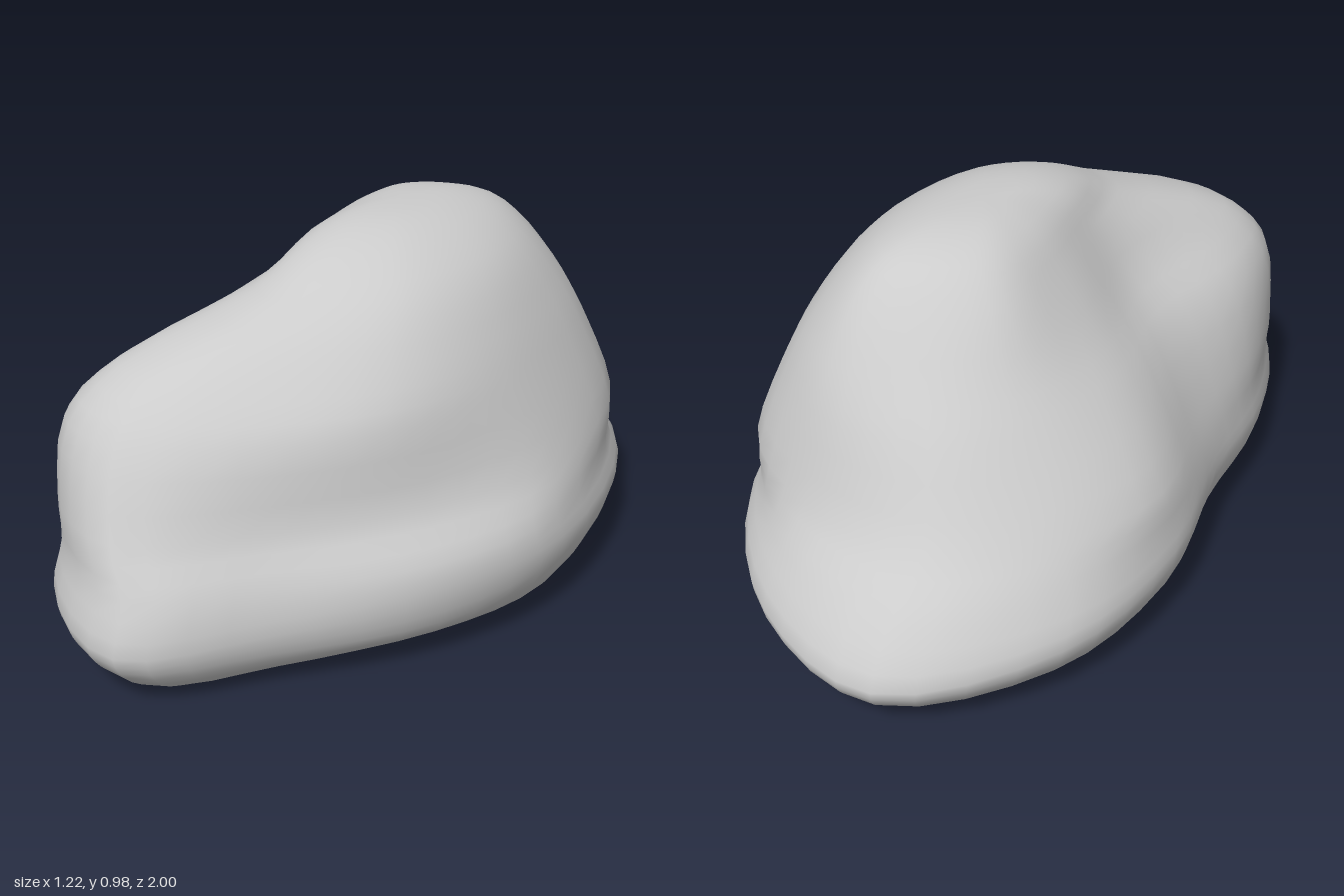
import * as THREE from 'three';

// Horizontal outlines of the rock: [height, x, z, x, z, ...], from +x round through +z
const OUTLINES = [
  [0.20, 0.61, 0.02, 0.49, 0.40, 0.22, 0.74, -0.04, 0.995, -0.37, 0.84, -0.52, 0.48,
    -0.55, 0.10, -0.61, -0.28, -0.52, -0.68, -0.20, -1.0, 0.18, -0.90, 0.48, -0.57],
  [0.40, 0.55, -0.02, 0.41, 0.36, 0.19, 0.65, -0.10, 0.915, -0.38, 0.79, -0.50, 0.47,
    -0.50, 0.09, -0.57, -0.28, -0.45, -0.58, -0.20, -0.78, 0.15, -0.75, 0.45, -0.55],
  [0.60, 0.465, -0.05, 0.37, 0.34, 0.17, 0.61, -0.15, 0.825, -0.37, 0.755, -0.44, 0.48,
    -0.39, 0.11, -0.43, -0.23, -0.35, -0.47, -0.15, -0.66, 0.15, -0.67, 0.39, -0.50],
  [0.72, 0.41, -0.07, 0.33, 0.28, 0.12, 0.53, -0.14, 0.70, -0.29, 0.65, -0.31, 0.46,
    -0.26, 0.14, -0.32, -0.17, -0.27, -0.42, -0.10, -0.58, 0.15, -0.61, 0.34, -0.46],
  [0.85, 0.33, -0.10, 0.265, 0.19, 0.12, 0.34, -0.02, 0.39, -0.11, 0.34, -0.15, 0.22,
    -0.17, 0.07, -0.21, -0.15, -0.19, -0.37, -0.05, -0.49, 0.14, -0.52, 0.27, -0.39],
  [0.93, 0.23, -0.12, 0.18, 0.10, 0.08, 0.20, 0.00, 0.22, -0.06, 0.19, -0.10, 0.12,
    -0.12, 0.00, -0.14, -0.16, -0.12, -0.32, -0.02, -0.41, 0.11, -0.43, 0.19, -0.34],
];

const ROWS = 40;
const AROUND = 48;

const toLoop = ([y, ...xz]) =>
  Array.from({ length: xz.length / 2 }, (_, k) => new THREE.Vector3(xz[2 * k], y, xz[2 * k + 1]));

// Copy of a loop, shrunk about (cx, cz) and moved to height y
const shrink = (loop, sx, sz, y, cx = 0, cz = 0) =>
  loop.map((p) => new THREE.Vector3(cx + (p.x - cx) * sx, y, cz + (p.z - cz) * sz));

// Underside loop, arched towards the front and a little lower on the left
const underside = (loop, sx, sz, y) =>
  shrink(loop, sx, sz, y).map((p) => {
    p.y += 0.03 * Math.exp(-(((p.z - 0.35) / 0.28) ** 2)) - 0.012 * p.x;
    return p;
  });

function rockGeometry() {
  const [base, ...sides] = OUTLINES.map(toLoop);
  const crown = sides[sides.length - 1];
  // The widest line dips at the front and back tips
  base.forEach((p) => { p.y -= 0.04 * p.z * p.z; });

  // Slightly hollow underside, rolled lower edge, sides, flattened crown
  const loops = [
    shrink(base, 0, 0, 0.045),
    underside(base, 0.4, 0.4, 0.03),
    underside(base, 0.7, 0.72, 0.009),
    underside(base, 0.83, 0.88, 0.028),
    shrink(base, 0.94, 0.97, 0.095),
    base,
    shrink(base, 0.975, 0.935, 0.29, 0, 0.35),
    ...sides,
    shrink(crown, 0.5, 0.55, 0.972, 0.02, -0.13),
    shrink(crown, 0, 0, 0.982, 0.02, -0.13),
  ];

  // Smooth curves up the rock, then smooth rings through them
  const columns = base.map((_, k) => new THREE.CatmullRomCurve3(loops.map((l) => l[k])));
  const positions = [];
  const index = [];
  const last = ROWS - 1;
  for (let i = 0; i < ROWS; i++) {
    const pts = columns.map((c) => c.getPoint(i / last));
    const pole = i === 0 || i === last;
    const ring = pole ? null : new THREE.CatmullRomCurve3(pts, true);
    for (let j = 0; j < AROUND; j++) {
      const p = pole ? pts[0] : ring.getPoint(j / AROUND);
      positions.push(p.x, p.y, p.z);
    }
  }
  const id = (i, j) => i * AROUND + (i === 0 || i === last ? 0 : j % AROUND);
  for (let i = 0; i < last; i++) {
    for (let j = 0; j < AROUND; j++) {
      const a = id(i, j), b = id(i, j + 1), c = id(i + 1, j + 1), d = id(i + 1, j);
      if (i > 0) index.push(a, d, b);
      if (i < last - 1) index.push(b, d, c);
    }
  }

  const geometry = new THREE.BufferGeometry();
  geometry.setAttribute('position', new THREE.Float32BufferAttribute(positions, 3));
  geometry.setIndex(index);
  geometry.computeVertexNormals();
  return geometry;
}

export function createModel() {
  const group = new THREE.Group();
  group.name = 'boulder';
  const rock = new THREE.Mesh(rockGeometry(), new THREE.MeshStandardMaterial({ color: 0xcccccc }));
  rock.name = 'rock';
  group.add(rock);
  return group;
}
